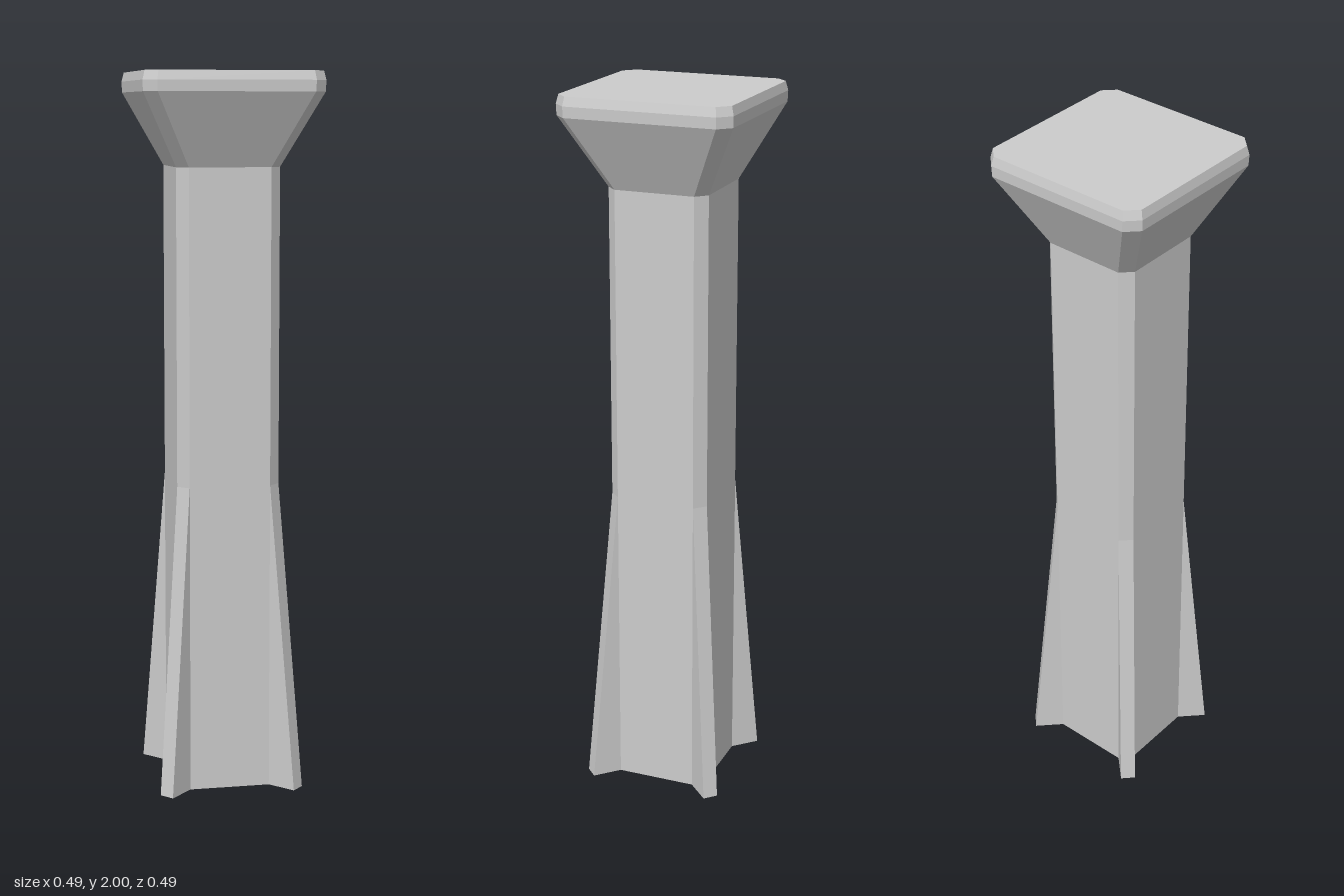
import * as THREE from 'three';

const material = new THREE.MeshStandardMaterial({
  color: 0xcccccc, flatShading: true, side: THREE.DoubleSide,
});

// Square with cut corners: w is the half width, c the half length of a flat side.
function ring(y, w, c) {
  return [[-c, w], [c, w], [w, c], [w, -c], [c, -w], [-c, -w], [-w, -c], [-w, c]]
    .map(([x, z]) => new THREE.Vector3(x, y, z));
}

// Mesh from polygons whose corners run anticlockwise seen from outside.
function polygonMesh(name, polygons) {
  const points = [];
  for (const p of polygons) {
    for (let i = 1; i < p.length - 1; i++) points.push(p[0], p[i], p[i + 1]);
  }
  const geometry = new THREE.BufferGeometry().setFromPoints(points);
  geometry.computeVertexNormals();
  const mesh = new THREE.Mesh(geometry, material);
  mesh.name = name;
  return mesh;
}

// Side faces between two rings; keep selects which of the eight sides to build.
function band(lower, upper, keep = () => true) {
  return lower
    .map((p, i) => [p, lower[(i + 1) % 8], upper[(i + 1) % 8], upper[i]])
    .filter((_, i) => keep(i));
}

export function createModel() {
  const group = new THREE.Group();
  const W = 0.143, C = 0.113, finTop = 0.87, flare = 0.06;

  const base = ring(0, W, C);
  const middle = ring(finTop, W, C);
  const neck = ring(1.745, W, C);

  // Hollow shaft, open below; its corners open into the fins
  group.add(polygonMesh('shaft', [
    ...band(base, middle, (i) => i % 2 === 0),
    ...band(middle, neck),
  ]));

  // Flared corner fins
  for (let i = 1; i < 8; i += 2) {
    const j = (i + 1) % 8;
    const [a, b] = [base[i], base[j]];
    const out = new THREE.Vector3(Math.sign(a.x + b.x), 0, Math.sign(a.z + b.z)).multiplyScalar(flare);
    const [fa, fb] = [a.clone().add(out), b.clone().add(out)];
    group.add(polygonMesh('cornerFin', [
      [fa, fb, middle[j], middle[i]],
      [a, fa, middle[i]],
      [fb, b, middle[j]],
    ]));
  }

  // Flaring capital with a bevelled rim and flat top
  const rimLow = ring(1.945, 0.245, 0.211);
  const rimHigh = ring(1.975, 0.246, 0.212);
  const top = ring(2, 0.24, 0.208);
  group.add(polygonMesh('capital', band(neck, rimLow)));
  group.add(polygonMesh('rim', [...band(rimLow, rimHigh), ...band(rimHigh, top)]));
  group.add(polygonMesh('topPlate', [top]));

  return group;
}
